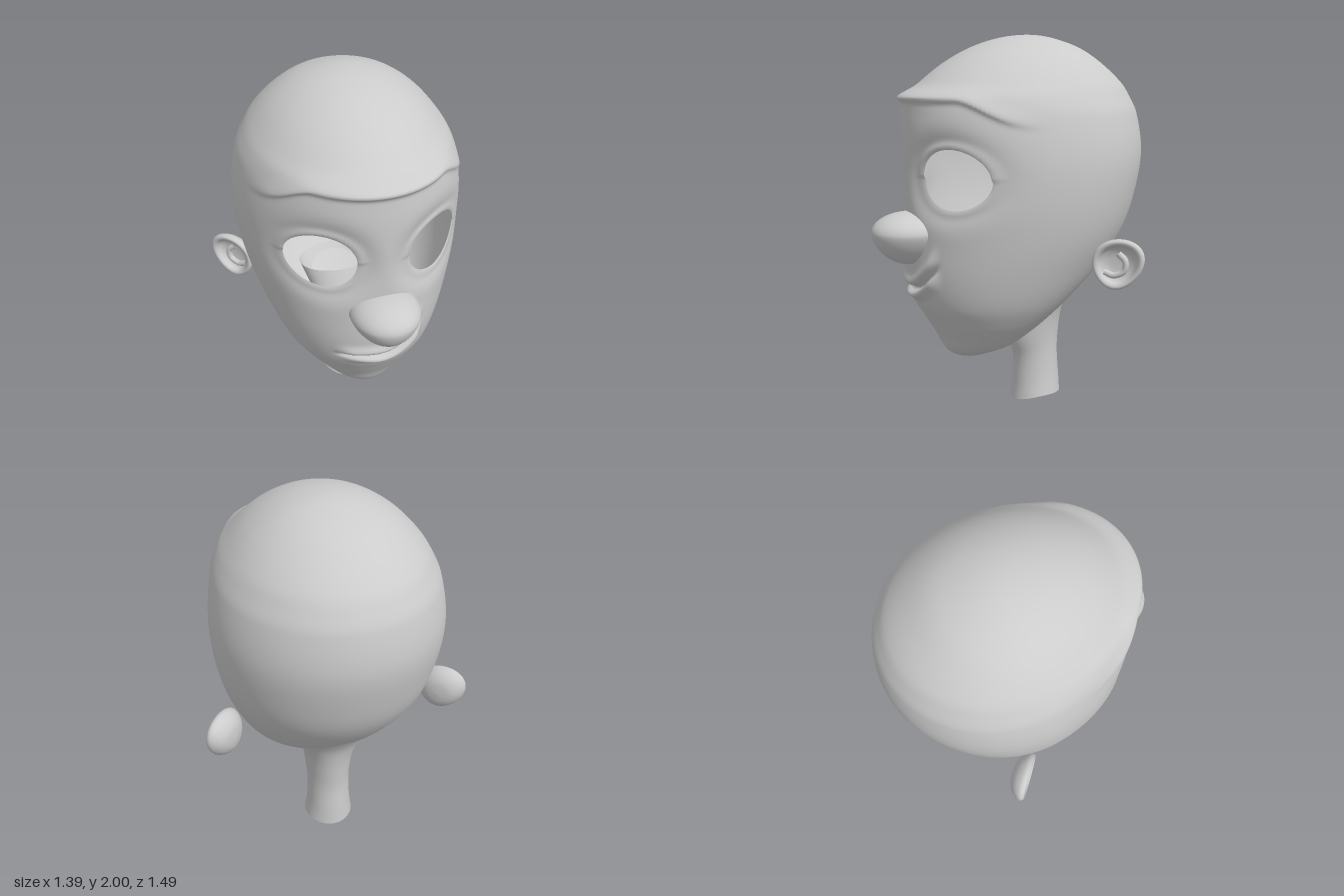
import * as THREE from 'three';
import { mergeVertices } from 'three/addons/utils/BufferGeometryUtils.js';

const skin = new THREE.MeshStandardMaterial({ color: 0xcccccc, side: THREE.DoubleSide });
const smooth = THREE.MathUtils.smoothstep;
const bell = (d, width) => Math.exp(-((d / width) ** 2));

// Profiles: [y, front z, back z, half width]
const HEAD = [
  [0.31, 0.22, 0.22, 0], [0.34, 0.33, 0.09, 0.11], [0.38, 0.365, -0.02, 0.185],
  [0.45, 0.4, -0.12, 0.26], [0.55, 0.46, -0.24, 0.345], [0.65, 0.515, -0.35, 0.41],
  [0.8, 0.55, -0.5, 0.475], [1.0, 0.555, -0.64, 0.54], [1.2, 0.56, -0.71, 0.575],
  [1.4, 0.565, -0.745, 0.58], [1.6, 0.56, -0.72, 0.545], [1.69, 0.54, -0.68, 0.505],
  [1.75, 0.465, -0.64, 0.465], [1.85, 0.335, -0.53, 0.375], [1.93, 0.19, -0.41, 0.265],
  [1.98, 0.04, -0.27, 0.145], [2, -0.13, -0.13, 0],
];
const NECK = [
  [0, -0.05, -0.33, 0.135], [0.1, -0.06, -0.325, 0.122], [0.25, -0.06, -0.315, 0.116],
  [0.36, -0.03, -0.32, 0.122], [0.5, -0.03, -0.335, 0.142], [0.62, -0.1, -0.365, 0.175],
  [0.75, -0.15, -0.44, 0.22],
];
const EYE = { x: 0.28, y: 1.3, rx: 0.152, ry: 0.147 };

// Smooth interpolation of a profile; key() remaps y so that the poles stay round
function sample(table, y, key = (v) => v) {
  let i = 0;
  while (i < table.length - 2 && y > table[i + 1][0]) i++;
  const k = (n) => key(table[n][0]);
  const h = k(i + 1) - k(i);
  const t = THREE.MathUtils.clamp((key(y) - k(i)) / h, 0, 1);
  const slope = (n, c) => {
    const a = Math.max(n - 1, 0), b = Math.min(n + 1, table.length - 1);
    return (table[b][c] - table[a][c]) / (k(b) - k(a));
  };
  return [1, 2, 3].map((c) => {
    const p = table[i][c], q = table[i + 1][c];
    return p + (q - p) * t * t * (3 - 2 * t)
      + h * (t * (1 - t) ** 2 * slope(i, c) - t * t * (1 - t) * slope(i + 1, c));
  });
}
const poleKey = (y) => Math.acos(THREE.MathUtils.clamp(1 - (2 * (y - 0.31)) / 1.69, -1, 1));

// Grid of rings, closed around; drop(a, b, c) may leave triangles out
function loft(rows, cols, point, drop = () => false) {
  const pos = [], index = [];
  for (let j = 0; j <= rows; j++)
    for (let i = 0; i < cols; i++) pos.push(...point((i / cols) * Math.PI * 2, j / rows));
  for (let j = 0; j < rows; j++)
    for (let i = 0; i < cols; i++) {
      const n = (i + 1) % cols;
      const a = j * cols + i, b = j * cols + n, c = b + cols, d = a + cols;
      for (const tri of [[a, b, c], [a, c, d]]) if (!drop(...tri)) index.push(...tri);
    }
  const geo = new THREE.BufferGeometry();
  geo.setAttribute('position', new THREE.Float32BufferAttribute(pos, 3));
  geo.setIndex(index);
  geo.computeVertexNormals();
  return geo;
}

const eyeRadius = (x, y) => Math.hypot((Math.abs(x) - EYE.x) / EYE.rx, (y - EYE.y) / EYE.ry);

// Face relief: sockets, lids, brow and lopsided smile
function relief(x, y) {
  const r = eyeRadius(x, y), ax = Math.abs(x);
  let d = -0.055 * Math.exp(-((r / 1.35) ** 4));
  d += (y > EYE.y ? 0.018 : 0.01) * bell(r - 1.08, 0.14);
  const brow = y - (1.685 - 0.13 * smooth(ax, 0.3, 0.56));
  d += 0.032 * bell(brow, brow > 0 ? 0.035 : 0.02) * (1 - smooth(ax, 0.46, 0.56));
  const rise = Math.max(0, x + 0.02) / 0.22;
  const across = (y - (0.72 + 0.13 * rise * rise)) / Math.hypot(1, 1.18 * rise);
  const span = smooth(x, -0.25, -0.15) * (1 - smooth(x, 0.18, 0.23));
  d += span * (0.022 * bell(across - 0.03, 0.03) - 0.035 * bell(across, 0.013));
  d += span * smooth(x, -0.25, 0) * 0.03 * bell(across + 0.036, 0.024);
  return d;
}

function headGeometry() {
  const inside = [];
  const point = (u, t) => {
    let y = 0.31 + 0.845 * (1 - Math.cos(Math.PI * t));
    let [front, back, width] = sample(HEAD, y, poleKey);
    let x = width * Math.sin(u);
    const isFront = Math.cos(u) > 0;
    const r = eyeRadius(x, y);
    const inEye = isFront && r < 1;
    inside.push(inEye);
    if (inEye) {
      // pull the vertex out to the rim of the eye opening
      const s = 1 / Math.max(r, 0.01);
      x = Math.sign(x) * (EYE.x + (Math.abs(x) - EYE.x) * s);
      y = EYE.y + (y - EYE.y) * s;
      [front, back, width] = sample(HEAD, y, poleKey);
    }
    const mid = back + (front - back) * 0.46;
    if (!isFront) return [x, y, mid + (mid - back) * Math.cos(u)];
    const c = inEye ? Math.sqrt(Math.max(0, 1 - (x / width) ** 2)) : Math.cos(u);
    return [x, y, mid + (front - mid) * c + relief(x, y) * smooth(c, 0, 0.4)];
  };
  return loft(220, 200, point, (a, b, c) => inside[a] && inside[b] && inside[c]);
}

function neckGeometry() {
  return loft(30, 48, (u, t) => {
    const [front, back, width] = sample(NECK, 0.75 * t);
    const cut = 0.04 - (Math.cos(u) > 0 ? 0.036 : 0.012) * Math.cos(u) ** 2;
    const z = (front + back) / 2 + ((front - back) / 2) * Math.cos(u);
    return [width * Math.sin(u), cut + (0.75 - cut) * t, z];
  });
}

// Rounded nose, flatter on top and tapering below
function noseGeometry() {
  const geo = new THREE.SphereGeometry(1, 48, 32);
  const p = geo.attributes.position;
  for (let i = 0; i < p.count; i++) {
    const x = p.getX(i), y = p.getY(i), z = p.getZ(i);
    const low = Math.max(0, -y);
    p.setXYZ(i, x * 0.175 * (1 - 0.25 * low), y * (y > 0 ? 0.105 : 0.165), z * 0.195 * (1 - 0.1 * low));
  }
  geo.computeVertexNormals();
  return geo;
}

// Cupped ear with a rolled rim, wider at the top
function earGeometry() {
  const profile = [[0, -0.06], [0.06, -0.052], [0.1, -0.03], [0.124, 0], [0.128, 0.022],
    [0.117, 0.036], [0.1, 0.03], [0.085, 0.006], [0.05, -0.012], [0, -0.016]];
  const curve = new THREE.SplineCurve(profile.map(([r, h]) => new THREE.Vector2(r, h)));
  const points = curve.getPoints(36).map((v) => new THREE.Vector2(Math.max(0, v.x), v.y));
  let geo = new THREE.LatheGeometry(points, 48).rotateX(Math.PI / 2);
  geo.deleteAttribute('uv');
  geo.deleteAttribute('normal');
  geo = mergeVertices(geo, 1e-5);
  const p = geo.attributes.position;
  for (let i = 0; i < p.count; i++) p.setX(i, p.getX(i) * (1 + 1.2 * p.getY(i)) + 0.1 * p.getY(i));
  geo.computeVertexNormals();
  return geo;
}

export function createModel() {
  const model = new THREE.Group();
  const add = (parent, name, geo) => {
    const mesh = new THREE.Mesh(geo, skin);
    mesh.name = name;
    parent.add(mesh);
    return mesh;
  };
  add(model, 'head', headGeometry());
  add(model, 'neck', neckGeometry());
  add(model, 'nose', noseGeometry()).position.set(0, 1.015, 0.55);

  // Ears, mirrored
  const shell = earGeometry();
  const fold = new THREE.TubeGeometry(new THREE.CatmullRomCurve3([
    [-0.07, -0.045, 0], [-0.02, -0.06, 0], [0.03, -0.035, 0], [0.035, 0.015, 0], [0, 0.05, -0.008],
  ].map((v) => new THREE.Vector3(...v))), 24, 0.016, 10);
  for (const side of [1, -1]) {
    const pivot = new THREE.Group();
    pivot.name = side > 0 ? 'leftEar' : 'rightEar';
    pivot.scale.x = side;
    const ear = new THREE.Group();
    ear.position.set(0.585, 0.873, -0.32);
    ear.rotation.y = Math.PI / 4;
    add(ear, 'earShell', shell);
    add(ear, 'earFold', fold);
    pivot.add(ear);
    model.add(pivot);
  }
  return model;
}
